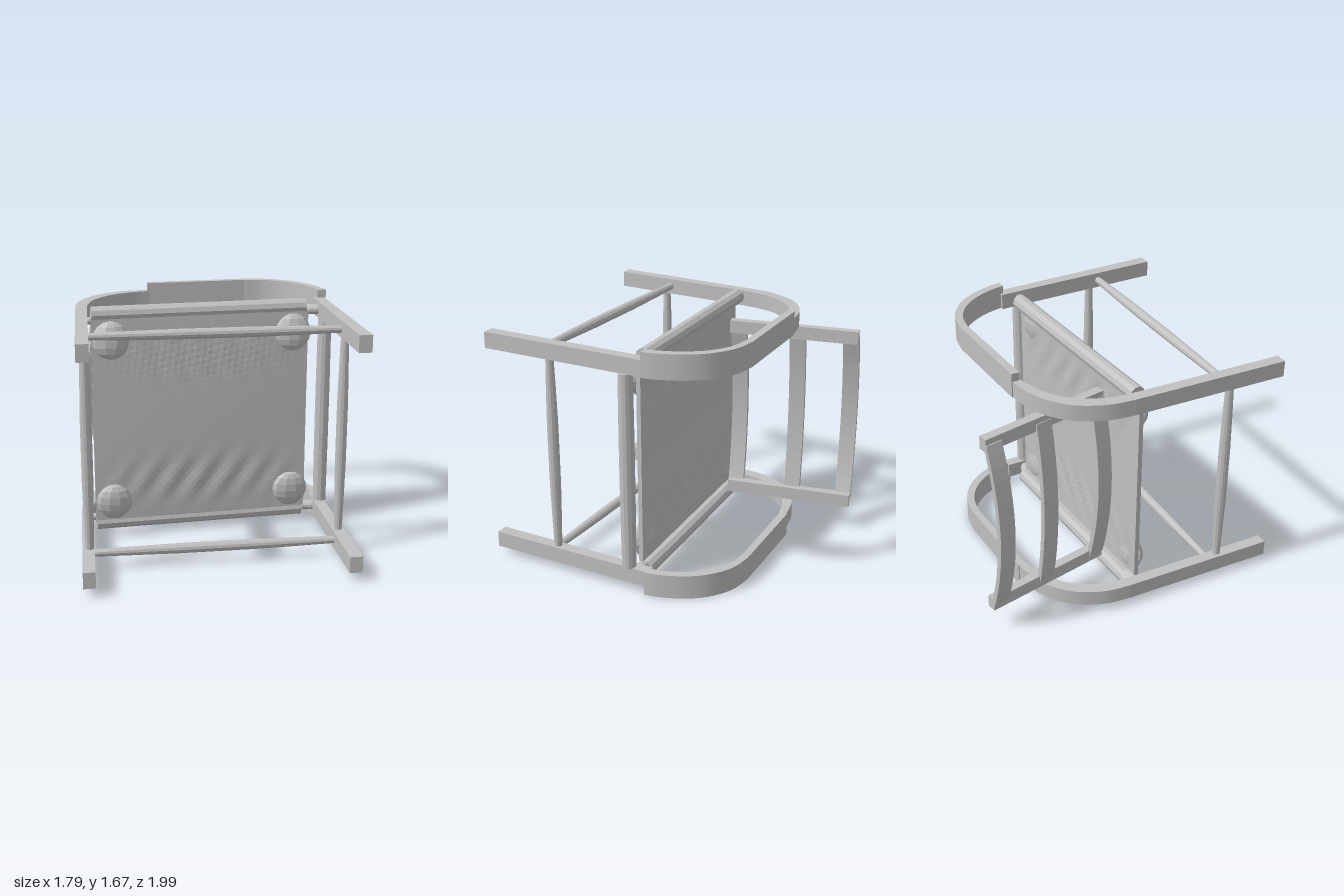
import * as THREE from 'three';

const MID = 0.845; // mirror plane of the two side frames

export function createModel() {
  const root = new THREE.Group();
  root.name = 'overturnedChair';
  const grey = new THREE.MeshStandardMaterial({ color: 0xc0c0c0, flatShading: true });
  grey.name = 'plainGrey';

  const add = (geo, name, pos = [0, 0, 0]) => {
    const m = new THREE.Mesh(geo, grey);
    m.name = name;
    m.position.set(...pos);
    root.add(m);
    return m;
  };

  // Extrude an x/z outline between two heights
  const slab = (draw, y0, y1, name) => {
    const s = new THREE.Shape();
    draw(s);
    const geo = new THREE.ExtrudeGeometry(s, { depth: y1 - y0, bevelEnabled: false, curveSegments: 20 });
    geo.rotateX(Math.PI / 2);
    return add(geo, name, [0, y1, 0]);
  };
  const vec = (list) => list.map(([x, z]) => new THREE.Vector2(x, z));

  // Turned rod between two points, thicker in the middle
  const rod = (a, b, rEnd, rMid, name) => {
    const A = new THREE.Vector3(...a), B = new THREE.Vector3(...b);
    const L = A.distanceTo(B);
    const prof = [[0, 0], [rEnd, 0], [(rEnd + rMid) / 2, 0.15], [rMid, 0.35], [rMid, 0.65],
      [(rEnd + rMid) / 2, 0.85], [rEnd, 1], [0, 1]].map(([r, t]) => new THREE.Vector2(r, t * L));
    const m = add(new THREE.LatheGeometry(prof, 12), name, a);
    m.quaternion.setFromUnitVectors(new THREE.Vector3(0, 1, 0), B.sub(A).normalize());
    return m;
  };

  for (const side of [-1, 1]) {
    const tag = side > 0 ? 'upper' : 'lower';
    const span = (a, b) => (side > 0 ? [MID + a, MID + b] : [MID - b, MID - a]);
    const [l0, l1] = span(0.67, 0.78);
    const [a0, a1] = span(0.67, 0.835);

    // Rear leg bending into the arm
    slab((s) => {
      s.moveTo(-0.9, 0.99);
      s.lineTo(-0.865, -0.08);
      s.splineThru(vec([[-0.84, -0.25], [-0.76, -0.42], [-0.64, -0.54], [-0.5, -0.61], [-0.32, -0.645]]));
      s.lineTo(-0.32, -0.59);
      s.splineThru(vec([[-0.45, -0.555], [-0.6, -0.475], [-0.72, -0.33], [-0.775, -0.17], [-0.79, 0]]));
      s.lineTo(-0.82, 0.99);
    }, l0, l1, tag + 'RearLeg');

    // Wide armrest with its front bend
    slab((s) => {
      s.moveTo(-0.33, -0.65);
      s.lineTo(0.38, -0.685);
      s.splineThru(vec([[0.55, -0.655], [0.7, -0.56], [0.8, -0.43], [0.86, -0.28], [0.88, -0.18]]));
      s.lineTo(0.82, -0.18);
      s.splineThru(vec([[0.8, -0.28], [0.745, -0.41], [0.65, -0.53], [0.52, -0.61], [0.38, -0.635]]));
      s.lineTo(-0.33, -0.595);
    }, a0, a1, tag + 'Armrest');

    // Front leg
    slab((s) => {
      s.moveTo(0.8, 0.99);
      s.lineTo(0.795, -0.2);
      s.lineTo(0.87, -0.2);
      s.lineTo(0.885, 0.99);
    }, l0, l1, tag + 'FrontLeg');

    // Stretcher joining the two legs
    const y = MID + side * 0.725;
    rod([-0.82, y, 0.57], [0.82, y, 0.57], 0.024, 0.034, tag + 'Stretcher');

    // Side rail of the seat, with joints to rod and leg
    const yr = MID + side * 0.742;
    const rail = new THREE.CylinderGeometry(0.054, 0.054, 1.48, 10);
    rail.rotateZ(Math.PI / 2);
    rail.rotateY(0.062);
    add(rail, tag + 'SeatRail', [-0.025, yr, -0.055]);
    rod([0.68, yr - side * 0.02, -0.1], [0.85, yr - side * 0.02, -0.05], 0.025, 0.035, tag + 'FrontJoint');
    rod([-0.82, yr - side * 0.04, 0], [-0.7, yr - side * 0.04, -0.01], 0.025, 0.025, tag + 'RearJoint');

    // Gathered corner pads on the seat
    for (const [x, z, d] of [[-0.64, 0.05, 0.06], [0.62, -0.04, 0.055]]) {
      const pad = new THREE.SphereGeometry(1, 10, 8);
      pad.scale(0.125, 0.13, d);
      add(pad, tag + 'CornerPad', [x, MID + side * 0.575, z]).rotation.x = -side * 0.12;
    }

    // Upright of the backrest
    slab((s) => {
      s.moveTo(-0.505, -0.1);
      s.lineTo(-0.445, -0.115);
      s.lineTo(-0.62, -1.0);
      s.lineTo(-0.68, -0.985);
    }, ...span(0.57, 0.66), tag + 'BackUpright');
  }

  // Spindles between the side frames
  rod([-0.84, 0.16, 0.62], [-0.84, 1.53, 0.62], 0.026, 0.037, 'rearSpindle');
  rod([0.84, 0.16, 0.515], [0.84, 1.53, 0.515], 0.026, 0.037, 'frontSpindle');
  rod([0.845, 0.17, -0.05], [0.845, 1.515, -0.05], 0.047, 0.05, 'seatFrontRod');

  // Sagging seat cloth with soft diagonal folds
  const cloth = new THREE.BoxGeometry(1.5, 1.46, 0.03, 40, 36, 1);
  const p = cloth.attributes.position;
  for (let i = 0; i < p.count; i++) {
    const x = p.getX(i), y = p.getY(i);
    const u = x / 0.75, v = y / 0.73;
    const sag = 0.018 * (1 - u * u) * (1 - v * v);
    const band = Math.exp(-Math.pow((Math.abs(v) - 0.6) / 0.2, 2)) * (1 - u * u);
    const fold = 0.006 * band * Math.sin(32 * (x + 0.6 * Math.abs(y)));
    p.setZ(i, p.getZ(i) + sag + fold - 0.062 * x);
  }
  cloth.computeVertexNormals();
  add(cloth, 'seatCloth', [-0.02, MID, -0.025]);

  // Bowed slats of the backrest
  const slats = [[-0.503, -0.155, 0.1], [-0.585, -0.57, 0.075], [-0.66, -0.935, 0.12]];
  slats.forEach(([x, z, bow], n) => {
    const geo = new THREE.BoxGeometry(0.035, 1.24, 0.112, 1, 16, 1);
    const q = geo.attributes.position;
    for (let i = 0; i < q.count; i++) {
      const v = q.getY(i) / 0.62;
      q.setX(i, q.getX(i) - (bow - 0.015) * (1 - v * v));
    }
    geo.computeVertexNormals();
    add(geo, 'backSlat' + (n + 1), [x, MID, z]).rotation.y = 0.2;
  });

  return root;
}
